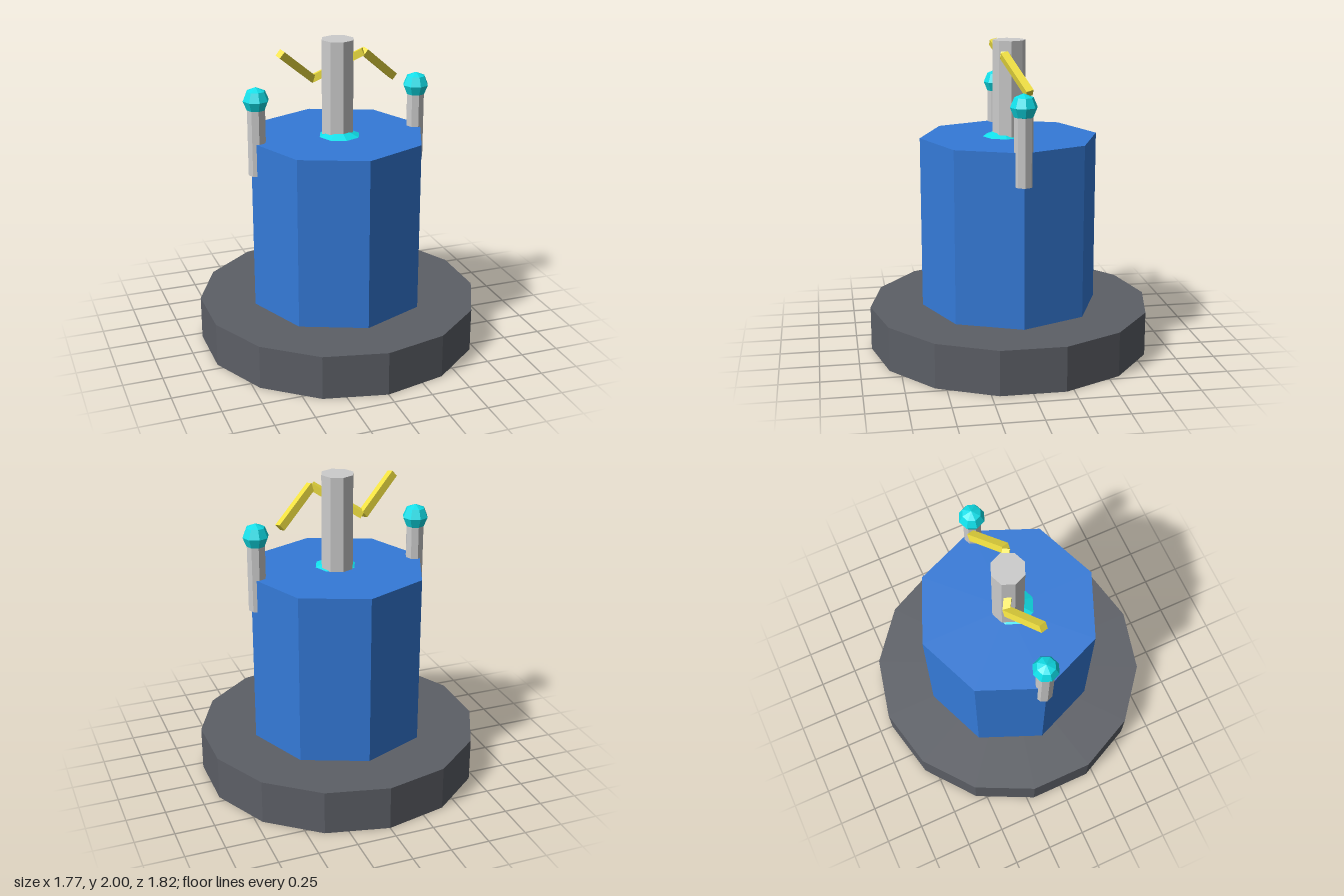
import * as THREE from 'three';

const mat = (color) => new THREE.MeshStandardMaterial({ color, flatShading: true });

export function createModel() {
  const model = new THREE.Group();
  const grey = mat(0xcccccc), dark = mat(0x5c5f66), blue = mat(0x347ad8);
  const cyan = mat(0x10e0ea), yellow = mat(0xf0e040);

  const add = (name, geometry, material, x = 0, y = 0, z = 0) => {
    const mesh = new THREE.Mesh(geometry, material);
    mesh.name = name;
    mesh.position.set(x, y, z);
    model.add(mesh);
    return mesh;
  };
  // Upright prism between two heights
  const prism = (name, r, sides, y0, y1, material, x = 0) =>
    add(name, new THREE.CylinderGeometry(r, r, y1 - y0, sides), material, x, (y0 + y1) / 2);
  // Square bar between two points, rolled about its length
  const bar = (name, a, b, size, roll) => {
    const mesh = add(name, new THREE.BoxGeometry(size, size, a.distanceTo(b)), yellow);
    mesh.position.copy(a).lerp(b, 0.5);
    mesh.lookAt(b);
    mesh.rotateZ(roll);
  };

  prism('base', 0.91, 14, 0, 0.285, dark);
  prism('body', 0.57, 8, 0.285, 1.39, blue);
  prism('centralMast', 0.105, 8, 1.3, 2, grey);
  // Low dome showing through the top of the body around the mast
  add('mastDome', new THREE.SphereGeometry(0.195, 8, 4), cyan, 0, 1.25, 0.035);

  // Side posts with ball caps
  for (const s of [-1, 1]) {
    const side = s > 0 ? 'left' : 'right';
    prism(side + 'Post', 0.058, 8, 1.18, 1.66, grey, s * 0.532);
    add(side + 'PostBall', new THREE.SphereGeometry(0.083, 8, 4), cyan, s * 0.532, 1.66, 0);
  }

  // Bent arms, one the point reflection of the other
  const centre = new THREE.Vector3(0.005, 1.833, -0.008);
  const path = [[0.05, 0.03, 0.01], [0.145, 0.09, 0.065], [0.39, -0.115, -0.052]];
  for (const s of [-1, 1]) {
    const side = s > 0 ? 'left' : 'right';
    const [root, elbow, tip] = path.map((p) => new THREE.Vector3(...p).multiplyScalar(s).add(centre));
    bar(side + 'ArmRoot', root, elbow, 0.045, 0);
    bar(side + 'Arm', elbow, tip, 0.048, s * 0.26);
  }
  return model;
}
